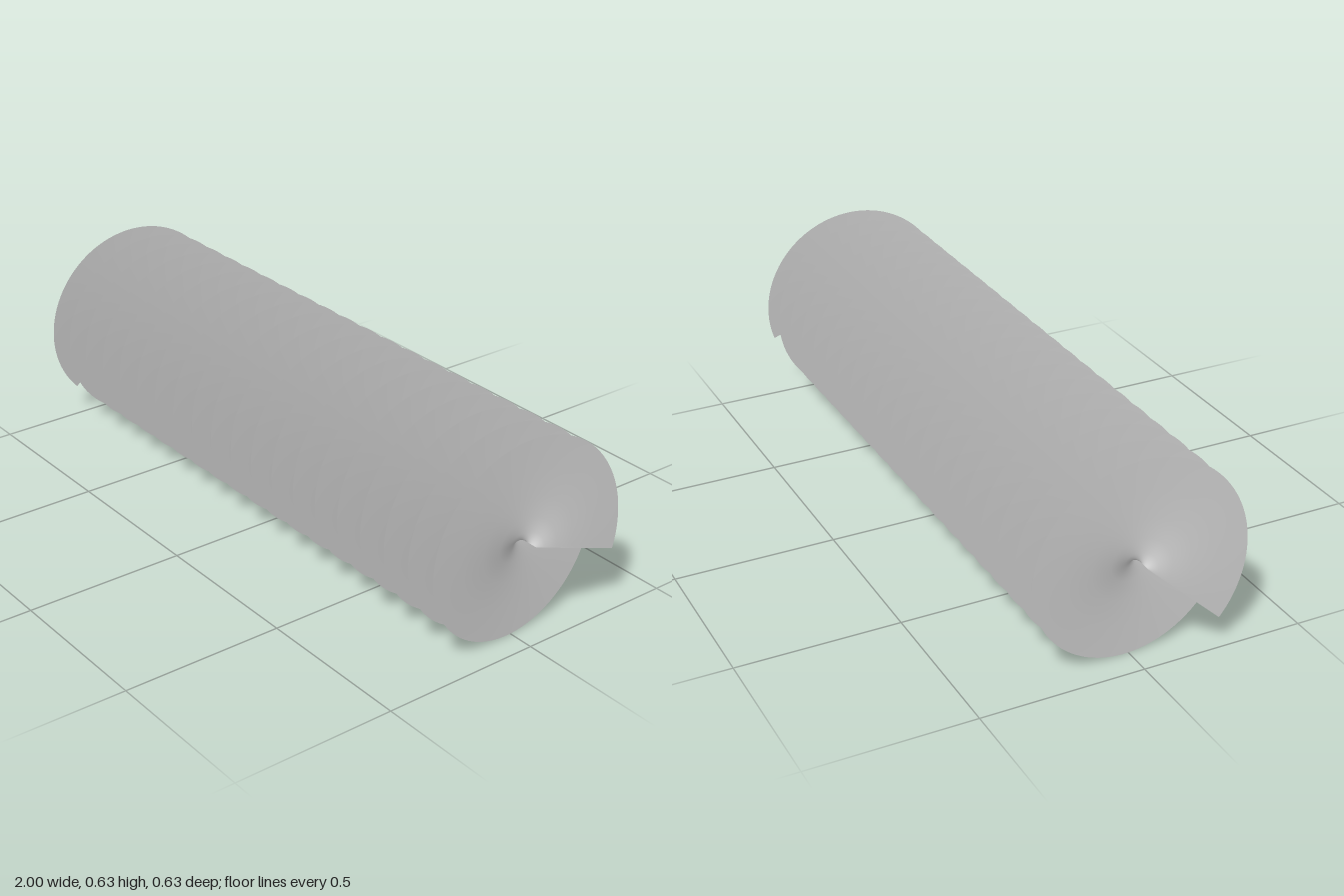
import * as THREE from 'three';

const RADIUS = 0.316;
const LENGTH = 2;
const START = THREE.MathUtils.degToRad(-133); // angle of the edge at x = -1
const END = THREE.MathUtils.degToRad(19 * 360 + 110); // angle of the edge at x = +1
const STEPS = 1970; // about 100 per turn
const RINGS = 6;

// Thin screw surface: a radial line swept along the x axis while it turns
function helicoid() {
  const geometry = new THREE.PlaneGeometry(1, 1, STEPS, RINGS);
  const pos = geometry.attributes.position;
  for (let i = 0; i < pos.count; i++) {
    const t = pos.getX(i) + 0.5;
    const s = pos.getY(i) + 0.5;
    const r = RADIUS * s * s; // rings are denser near the axis, where the twist is strongest
    const angle = THREE.MathUtils.lerp(START, END, t);
    pos.setXYZ(i, (t - 0.5) * LENGTH, RADIUS + r * Math.cos(angle), -r * Math.sin(angle));
  }
  geometry.computeVertexNormals();
  return geometry;
}

export function createModel() {
  const group = new THREE.Group();
  group.name = 'helicoid';
  const material = new THREE.MeshStandardMaterial({ color: 0xcccccc, side: THREE.DoubleSide });
  const blade = new THREE.Mesh(helicoid(), material);
  blade.name = 'screwBlade';
  group.add(blade);
  return group;
}
